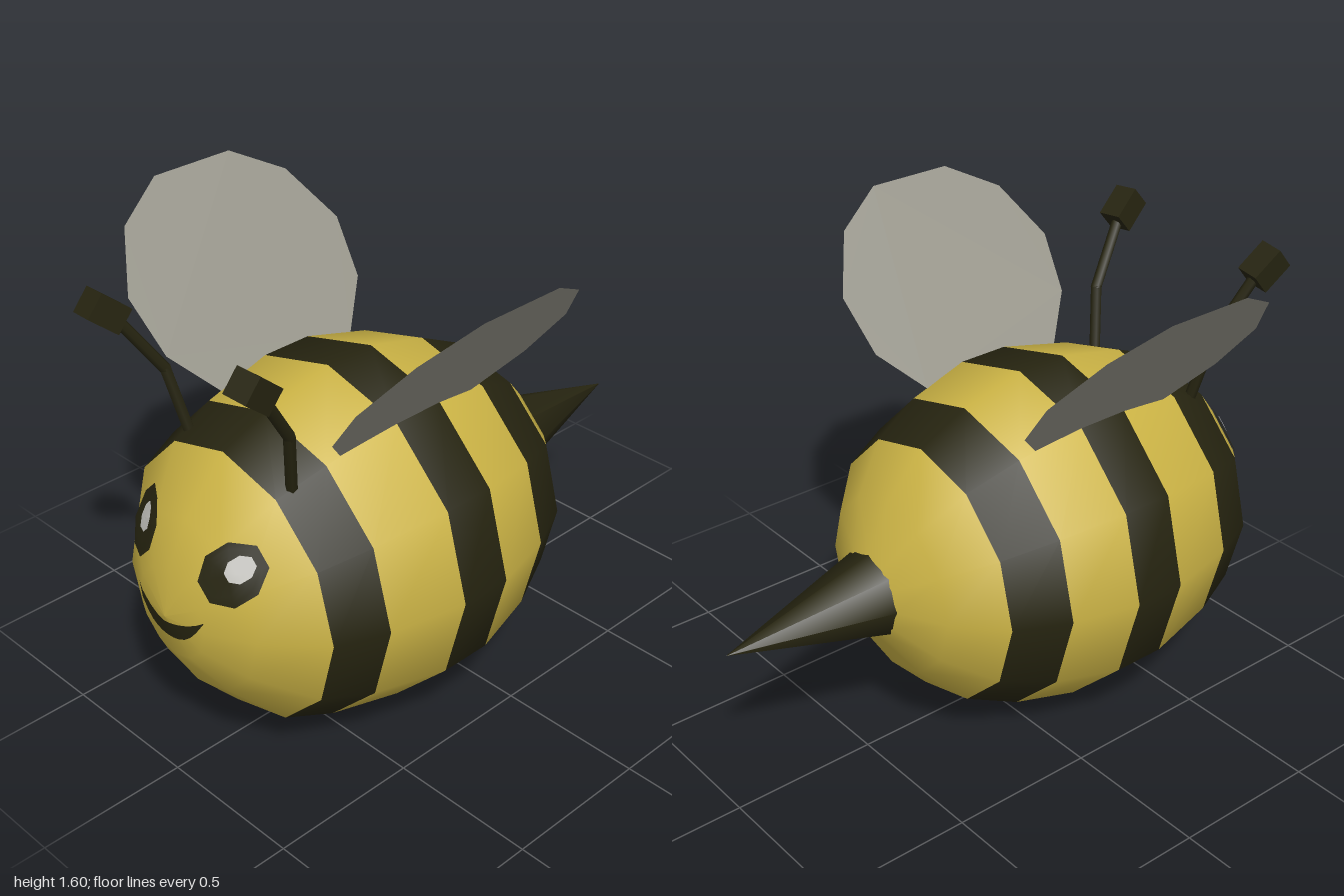
import * as THREE from 'three';

const CY = 0.592; // height of the body axis
const SIDES = 12;

// body profile from tail to nose: [radius, z, stripe on the span that follows]
const PROFILE = [
  [0.14, -0.47, 0], [0.3, -0.39, 0], [0.446, -0.255, 1], [0.53, -0.08, 0],
  [0.588, 0.145, 1], [0.588, 0.325, 0], [0.53, 0.58, 1], [0.462, 0.745, 0],
  [0.295, 0.895, 0], [0.15, 0.973, 0], [0, 1, 0],
];

// z of the front of the faceted body at (x, y)
function frontZ(x, y) {
  const step = (Math.PI * 2) / SIDES;
  const a = Math.atan2(x, y - CY);
  const mid = (Math.floor(a / step) + 0.5) * step;
  const r = (Math.hypot(x, y - CY) * Math.cos(a - mid)) / Math.cos(step / 2);
  for (let i = PROFILE.length - 1; i > 0; i--) {
    const [r0, z0] = PROFILE[i], [r1, z1] = PROFILE[i - 1];
    if (r <= r1) return z0 + ((z1 - z0) * (r - r0)) / (r1 - r0);
  }
  return 0;
}

// lay a flat geometry onto the face
function drape(geo, lift) {
  const p = geo.attributes.position;
  for (let i = 0; i < p.count; i++) p.setZ(i, frontZ(p.getX(i), p.getY(i)) + lift);
  geo.computeVertexNormals();
  return geo;
}

export function createModel() {
  const group = new THREE.Group();
  const mat = (name, color, extra = {}) => {
    const m = new THREE.MeshStandardMaterial({ color, ...extra });
    m.name = name;
    return m;
  };
  const yellow = mat('yellow', 0xcbb345);
  const black = mat('black', 0x262410);
  const wingGrey = mat('wingGrey', 0x969489, { side: THREE.DoubleSide });
  const white = mat('eyeGlint', 0xc4c3be);

  const add = (name, geo, material, parent = group) => {
    const m = new THREE.Mesh(geo, material);
    m.name = name;
    parent.add(m);
    return m;
  };

  // body: one smooth lathe, with stripes as material groups
  const body = new THREE.LatheGeometry(PROFILE.map(([r, z]) => new THREE.Vector2(r, z)), SIDES);
  body.rotateX(Math.PI / 2);
  const spans = PROFILE.length - 1;
  const perSpan = body.index.count / (SIDES * spans);
  if (perSpan === 6) {
    for (let i = 0; i < SIDES; i++) {
      for (let j = 0; j < spans; j++) body.addGroup((i * spans + j) * 6, 6, PROFILE[j][2]);
    }
  }
  add('body', body, [yellow, black]).position.y = CY;

  // stinger
  const stinger = new THREE.ConeGeometry(0.145, 0.535, 8).rotateX(-Math.PI / 2);
  add('stinger', stinger, black).position.set(0, CY, -0.7325);

  // mouth: a crescent with pointed ends
  const mouth = new THREE.PlaneGeometry(2, 1, 12, 3);
  const mp = mouth.attributes.position;
  for (let i = 0; i < mp.count; i++) {
    const t = mp.getX(i), v = mp.getY(i) + 0.5;
    const low = 0.523 + 0.109 * Math.pow(Math.abs(t), 2.6);
    const high = 0.58 + 0.052 * Math.pow(Math.abs(t), 2);
    mp.setXY(i, t * 0.153, THREE.MathUtils.lerp(low, high, v));
  }
  add('mouth', drape(mouth, 0.006), black);

  // straight rod between two points
  const rod = (name, a, b, parent) => {
    const d = b.clone().sub(a);
    const m = add(name, new THREE.CylinderGeometry(0.019, 0.019, d.length() + 0.01, 6), black, parent);
    m.position.copy(a).add(b).multiplyScalar(0.5);
    m.quaternion.setFromUnitVectors(new THREE.Vector3(0, 1, 0), d.normalize());
  };

  for (const s of [1, -1]) {
    const side = s > 0 ? 'left' : 'right';

    // eye and its glint
    const eye = new THREE.RingGeometry(0, 0.094, 8, 5, Math.PI / 8).translate(s * 0.2, 0.79, 0);
    add(side + 'Eye', drape(eye, 0.009), black);
    const glintX = s > 0 ? 0.223 : -0.187;
    const glint = new THREE.RingGeometry(0, 0.039, 8, 3, Math.PI / 8).translate(glintX, 0.814, 0);
    add(side + 'EyeGlint', drape(glint, 0.016), white);

    // bent antenna with a block tip
    const antenna = new THREE.Group();
    antenna.name = side + 'Antenna';
    group.add(antenna);
    const base = new THREE.Vector3(s * 0.228, 0.98, 0.682);
    const bend = new THREE.Vector3(s * 0.277, 1.215, 0.725);
    const tip = new THREE.Vector3(s * 0.322, 1.42, 0.86);
    rod('lowerStalk', base, bend, antenna);
    rod('upperStalk', bend, tip, antenna);
    const block = add('tip', new THREE.BoxGeometry(0.085, 0.118, 0.085), black, antenna);
    block.position.set(s * 0.33, 1.447, 0.889);
    block.rotation.set(0.87, 0, -s * 0.13);

    // flat wing: outline as (z, x), then tilted upwards
    const outline = [
      [0.4, 0.2], [0.53, 0.27], [0.65, 0.37], [0.68, 0.5], [0.58, 0.63], [0.4, 0.703],
      [0.1, 0.703], [-0.075, 0.63], [-0.18, 0.5], [-0.15, 0.37], [-0.02, 0.27], [0.1, 0.2],
    ];
    const wing = new THREE.ShapeGeometry(
      new THREE.Shape(outline.map(([z, x]) => new THREE.Vector2(z, x))));
    const wp = wing.attributes.position;
    for (let i = 0; i < wp.count; i++) {
      const z = wp.getX(i), x = wp.getY(i);
      wp.setXYZ(i, s * x, 1.065 + 1.25 * (x - 0.27), z);
    }
    wing.computeVertexNormals();
    add(side + 'Wing', wing, wingGrey);
  }

  return group;
}
